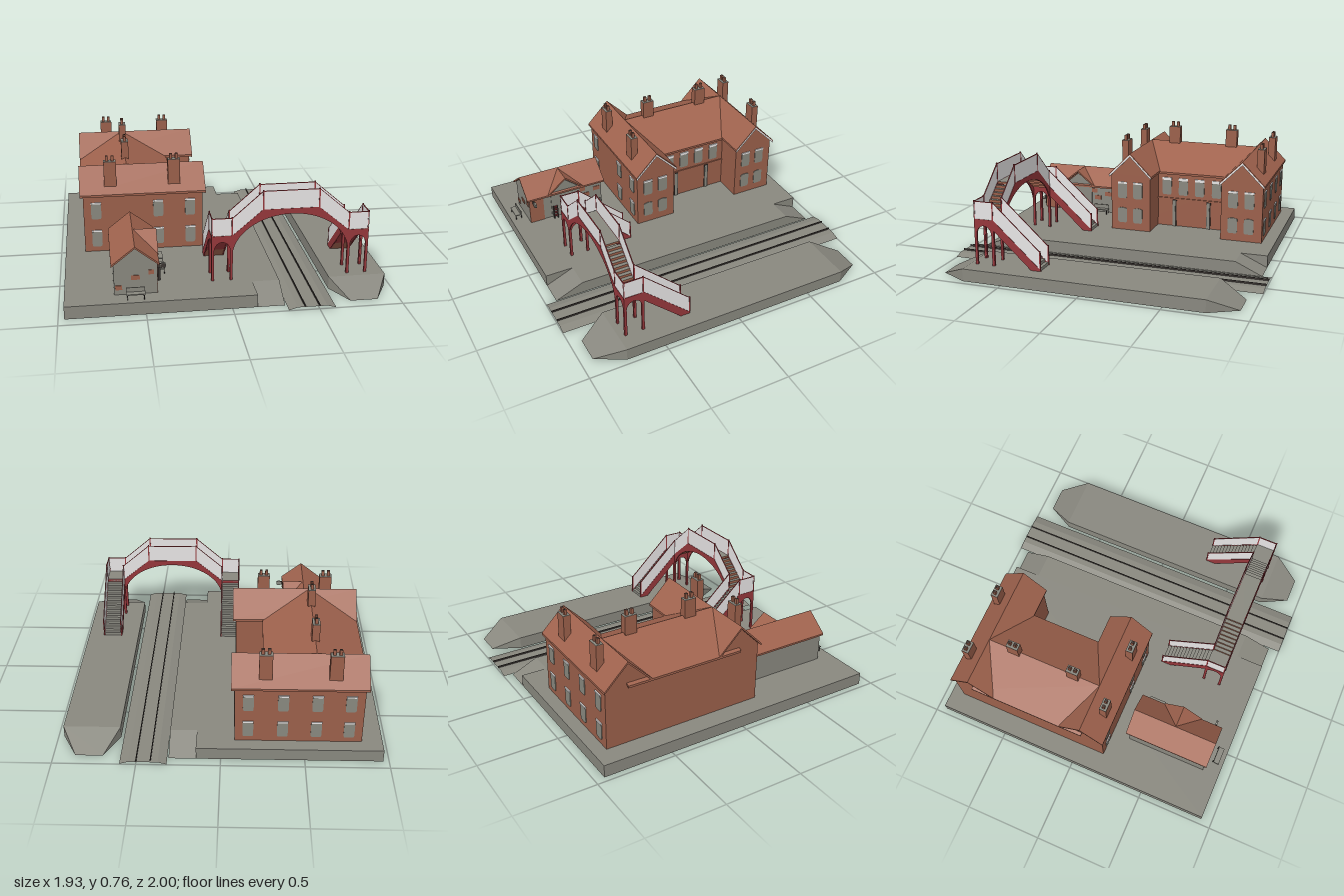
import * as THREE from 'three';

const mat = (name, color) => new THREE.MeshStandardMaterial({ name, color, side: THREE.DoubleSide });

export function createModel() {
  const root = new THREE.Group();
  root.name = 'railwayStation';
  const stone = mat('stone grey', 0x89887f), brick = mat('brick', 0x9b604b), tile = mat('roof tile', 0xa0634e);
  const red = mat('bridge red', 0x95373b), pale = mat('pale panel', 0xe8e6e6), dark = mat('dark iron', 0x3b3532);

  let parent = root;
  const group = (name) => { parent = new THREE.Group(); parent.name = name; root.add(parent); return parent; };
  const add = (name, geo, m) => {
    const mesh = new THREE.Mesh(geo, m);
    mesh.name = name;
    parent.add(mesh);
    return mesh;
  };
  const box = (name, m, x0, x1, y0, y1, z0, z1) => add(name,
    new THREE.BoxGeometry(x1 - x0, y1 - y0, z1 - z0).translate((x0 + x1) / 2, (y0 + y1) / 2, (z0 + z1) / 2), m);
  const toShape = (pts) => new THREE.Shape(pts.map((p) => new THREE.Vector2(p[0], p[1])));
  const extrude = (shape, depth) => new THREE.ExtrudeGeometry(shape, { depth, bevelEnabled: false, curveSegments: 16 });
  // Outline in (x, y), running from z0 to z1
  const alongZ = (name, m, pts, z0, z1) => add(name, extrude(toShape(pts), z1 - z0).translate(0, 0, z0), m);
  // Outline in (z, y), running from x0 to x1
  const alongX = (name, m, pts, x0, x1) =>
    add(name, extrude(toShape(pts.map(([z, y]) => [-z, y])), x1 - x0).rotateY(Math.PI / 2).translate(x0, 0, 0), m);
  // Flat faces given by their corners
  const faces = (name, m, polys) => {
    const v = [];
    for (const p of polys) for (let i = 1; i < p.length - 1; i++) v.push(...p[0], ...p[i], ...p[i + 1]);
    const g = new THREE.BufferGeometry();
    g.setAttribute('position', new THREE.Float32BufferAttribute(v, 3));
    g.computeVertexNormals();
    return add(name, g, m);
  };
  const house = (c, half, base, eave, top) => [[c - half, base], [c + half, base], [c + half, eave], [c, top], [c - half, eave]];
  const chevron = (c, half, eave, top, t) => [[c - half, eave], [c - half, eave - t], [c, top - t], [c + half, eave - t], [c + half, eave], [c, top]];

  const P = 0.078, G = 0.079; // platform top and the level things stand on

  // Main platform, hollow below, with a ramp at each end of its track edge
  group('mainPlatform');
  const L = -0.965, M = 0.147, R = 0.31, B = -0.94, F = 0.93, RB = -0.77, RF = 0.75;
  faces('platformTop', stone, [
    [[L, P, F], [M, P, F], [M, P, B], [L, P, B]],
    [[M, P, RF], [R, P, RF], [R, P, RB], [M, P, RB]],
  ]);
  faces('platformWalls', stone, [
    [[L, 0, F], [M, 0, F], [M, P, F], [L, P, F]],
    [[M, 0, B], [L, 0, B], [L, P, B], [M, P, B]],
    [[L, 0, B], [L, 0, F], [L, P, F], [L, P, B]],
    [[R, 0, F], [R, 0, B], [R, P, RB], [R, P, RF]],
    [[M, 0, F], [M, P, RF], [M, P, F]],
    [[M, 0, B], [M, P, B], [M, P, RB]],
  ]);
  faces('platformRamps', stone, [
    [[M, 0, F], [R, 0, F], [R, P, RF], [M, P, RF]],
    [[M, P, RB], [R, P, RB], [R, 0, B], [M, 0, B]],
  ]);

  // Far platform, hollow below, with tapered sloping ends
  group('farPlatform');
  const X0 = 0.615, X1 = 0.965, E = 0.75;
  faces('platformTop', stone, [[[X0, P, E], [X1, P, E], [X1, P, -E], [X0, P, -E]]]);
  faces('platformWalls', stone, [
    [[X0, 0, -E], [X0, 0, E], [X0, P, E], [X0, P, -E]],
    [[X1, 0, E], [X1, 0, -E], [X1, P, -E], [X1, P, E]],
  ]);
  for (const s of [1, -1]) {
    const z = E * s, e = 0.925 * s;
    const a = [X0, P, z], b = [X1, P, z], c = [0.87, 0, e], d = [0.705, 0, e];
    const polys = [[a, d, c, b], [a, [X0, 0, z], d], [b, c, [X1, 0, z]]];
    faces('platformRamp', stone, s > 0 ? polys : polys.map((p) => [...p].reverse()));
  }

  // Track: open ballast sheet and two rails
  group('track');
  const strip = (name, m, pts) => faces(name, m, pts.slice(1).map(([x, y], i) => {
    const [px, py] = pts[i];
    return [[px, py, 1], [x, y, 1], [x, y, -1], [px, py, -1]];
  }));
  strip('ballast', stone, [[0.318, 0.003], [0.37, 0.018], [0.545, 0.018], [0.598, 0.003]]);
  for (const x of [0.414, 0.499])
    strip('rail', dark, [[x - 0.0025, 0.018], [x - 0.0025, 0.029], [x + 0.0025, 0.029], [x + 0.0025, 0.018]]);

  // Window plate with rounded corners and a thin pale lintel, turned to face its wall
  const windowAt = (x, y, z, turn, lintelHeight) => {
    const w = 0.032, h = 0.105, keep = parent;
    const g = new THREE.Group();
    g.name = 'window';
    g.position.set(x, y, z);
    g.rotation.y = turn;
    const pane = new THREE.Shape();
    pane.moveTo(-w + 0.012, 0);
    pane.lineTo(w - 0.012, 0);
    pane.quadraticCurveTo(w, 0, w, 0.02);
    pane.lineTo(w, h - 0.008);
    pane.quadraticCurveTo(0, h + 0.008, -w, h - 0.008);
    pane.lineTo(-w, 0.02);
    pane.quadraticCurveTo(-w, 0, -w + 0.012, 0);
    parent.add(g);
    parent = g;
    add('pane', extrude(pane, 0.004), stone);
    if (lintelHeight) box('lintel', pale, -w, w, h - 0.003, h - 0.003 + lintelHeight, 0, 0.007);
    parent = keep;
  };

  // Station house: two gabled wings joined by a middle range
  group('stationHouse');
  alongZ('middleWalls', brick, house(-0.555, 0.285, G, 0.46, 0.6), -0.72, 0.04);
  alongZ('middleRoof', tile, chevron(-0.555, 0.305, 0.46, 0.615, 0.014), -0.72, 0.04);
  box('stringCourse', brick, -0.27, -0.262, 0.27, 0.278, -0.585, -0.09);
  for (const z of [-0.16, -0.275, -0.39, -0.507]) windowAt(-0.27, 0.3, z, Math.PI / 2, 0.018);
  for (const z of [-0.215, -0.455]) {
    box('doorFrame', dark, -0.272, -0.264, G, 0.265, z - 0.014, z + 0.014);
    box('door', stone, -0.27, -0.262, G, 0.262, z - 0.006, z + 0.012);
  }
  for (const c of [0.04, -0.72]) {
    alongX('wingWalls', brick, house(c, 0.137, G, 0.462, 0.6), -0.84, -0.08);
    alongX('wingRoof', tile, chevron(c, 0.15, 0.465, 0.615, 0.014), -0.86, -0.06);
    alongX('bargeboard', pale, chevron(c, 0.147, 0.461, 0.608, 0.015), -0.066, -0.0585);
    for (const z of [c + 0.058, c - 0.05]) {
      windowAt(-0.08, 0.13, z, Math.PI / 2, 0);
      windowAt(-0.08, 0.3, z, Math.PI / 2, 0.012);
    }
  }
  for (const y of [0.112, 0.3]) {
    for (const x of [-0.76, -0.365, -0.16]) windowAt(x, y, 0.177, 0, 0.01);
    for (const x of [-0.76, -0.565, -0.365, -0.16]) windowAt(x, y, -0.857, Math.PI, 0.01);
  }

  // Chimneys, each with two square pots
  const chimney = (x, z, y0, y1, acrossX) => {
    const a = acrossX ? 0.039 : 0.023, b = acrossX ? 0.023 : 0.039;
    box('chimneyStack', brick, x - a, x + a, y0, y1, z - b, z + b);
    box('chimneyTop', stone, x - a, x + a, y1, y1 + 0.002, z - b, z + b);
    for (const s of [-1, 1]) {
      const px = x + (acrossX ? s * 0.018 : 0), pz = z + (acrossX ? 0 : s * 0.018);
      box('chimneyPot', brick, px - 0.009, px + 0.009, y1, y1 + 0.035, pz - 0.009, pz + 0.009);
      box('potOpening', dark, px - 0.006, px + 0.006, y1 + 0.034, y1 + 0.036, pz - 0.006, pz + 0.006);
    }
  };
  group('chimneys');
  for (const z of [0.126, -0.808]) for (const x of [-0.663, -0.258]) chimney(x, z, 0.5, 0.667, true);
  for (const z of [-0.54, -0.135]) chimney(-0.556, z, 0.57, 0.72, false);

  // Waiting room with a small cross gable
  group('waitingRoom');
  alongZ('walls', stone, house(-0.552, 0.125, G, 0.27, 0.365), 0.295, 0.82);
  alongZ('roof', tile, chevron(-0.552, 0.14, 0.27, 0.38, 0.012), 0.275, 0.835);
  alongX('porchGable', stone, house(0.56, 0.105, G, 0.27, 0.355), -0.52, -0.422);
  alongX('porchRoof', tile, chevron(0.56, 0.13, 0.27, 0.376, 0.012), -0.55, -0.408);
  box('brickCorner', brick, -0.43, -0.424, G, 0.265, 0.72, 0.82);
  for (const [z, y] of [[0.33, 0.2], [0.41, 0.17], [0.44, 0.22]])
    box('brickPatch', brick, -0.43, -0.424, y, y + 0.03, z - 0.025, z + 0.025);
  for (const [x, y, w] of [[-0.552, 0.17, 0.025], [-0.65, 0.11, 0.02], [-0.46, 0.2, 0.016]])
    box('brickPatch', brick, x - w, x + w, y, y + 0.028, 0.818, 0.824);
  box('signBoard', dark, -0.43, -0.375, 0.225, 0.25, 0.785, 0.796);
  add('clock', new THREE.CylinderGeometry(0.018, 0.018, 0.012, 14).rotateX(Math.PI / 2).translate(-0.39, 0.237, 0.79), stone);
  for (const z of [0.632, 0.658]) box('trolleySide', dark, -0.41, -0.395, G, 0.175, z - 0.003, z + 0.003);
  for (const y of [0.1, 0.125, 0.15, 0.17]) box('trolleyRung', red, -0.408, -0.397, y - 0.004, y + 0.004, 0.632, 0.658);

  // Benches
  const bench = (x, z, turn) => {
    const g = group('bench');
    box('seat', stone, -0.055, 0.055, 0.031, 0.037, -0.015, 0.02);
    box('back', stone, -0.055, 0.055, 0.037, 0.064, -0.02, -0.015);
    for (const s of [-0.048, 0.048]) {
      box('frontLeg', dark, s - 0.002, s + 0.002, 0, 0.031, 0.013, 0.017);
      box('backLeg', dark, s - 0.002, s + 0.002, 0, 0.06, -0.024, -0.02);
    }
    g.position.set(x, G, z);
    g.rotation.y = turn;
  };
  bench(-0.555, 0.882, 0);
  bench(-0.38, 0.37, Math.PI / 2);
  bench(-0.38, 0.525, Math.PI / 2);

  // Footbridge span: arched girders, pale parapets with red rails, deck and steps
  const Z0 = 0.585, Z1 = 0.713, D = 0.365, T = 0.52;
  group('bridgeSpan');
  const arch = toShape([[0.735, 0.23], [0.735, D], [0.55, T], [0.21, T], [0.03, D], [0.03, 0.23]]);
  arch.absellipse(0.3825, 0.23, 0.3525, 0.257, Math.PI, 0, true);
  const railLine = [[0.03, 0.475], [0.21, 0.635], [0.55, 0.635], [0.735, 0.475]];
  const railUnder = railLine.map(([x, y]) => [x, y - 0.004]).reverse();
  for (const z of [Z0, Z1 - 0.008]) {
    add('archGirder', extrude(arch, 0.008).translate(0, 0, z), red);
    alongZ('parapet', pale, [[0.03, D], [0.21, T], [0.55, T], [0.735, D], ...railUnder], z + 0.002, z + 0.006);
    alongZ('handrail', red, [...railLine, ...railUnder], z + 0.001, z + 0.007);
    for (const x of [0.213, 0.549]) box('post', red, x - 0.004, x + 0.004, 0.5, 0.64, z, z + 0.008);
  }
  // Grey treads with brick coloured risers
  const stepMats = [brick, brick, stone, brick, brick, brick];
  box('deck', stepMats, 0.21, 0.55, 0.505, T, Z0 + 0.008, Z1 - 0.008);
  for (let i = 0; i < 8; i++) {
    const y = D + (i + 1) * (T - D) / 9, w = 0.0225, x = 0.03 + i * w;
    box('step', stepMats, x, x + w, y - 0.022, y, Z0 + 0.008, Z1 - 0.008);
    box('step', stepMats, 0.765 - x - w, 0.765 - x, y - 0.022, y, Z0 + 0.008, Z1 - 0.008);
  }

  // Towers and stairs, one on each platform
  const W = Z1 - Z0;
  const frame = toShape([[0, G], [0, D], [W, D], [W, G], [W - 0.016, G], [W - 0.016, 0.27]]);
  frame.absellipse(W / 2, 0.27, W / 2 - 0.016, 0.055, 0, Math.PI, false);
  frame.lineTo(0.016, G);
  for (const [x0, outer] of [[-0.095, -0.093], [0.732, 0.854]]) {
    const x1 = x0 + W;
    group('bridgeTower');
    for (const z of [Z0, Z1 - 0.012]) add('archFrame', extrude(frame, 0.012).translate(x0, 0, z), red);
    for (const x of [x0, x1 - 0.012])
      add('sideFrame', extrude(frame, 0.012).rotateY(Math.PI / 2).translate(x, 0, Z1), red);
    box('landing', stone, x0 + 0.002, x1 - 0.002, D - 0.012, D + 0.002, Z0, Z1 - 0.002);
    box('frontPanel', pale, x0, x1, D, 0.472, Z1 - 0.006, Z1 - 0.002);
    box('sidePanel', pale, outer, outer + 0.004, D, 0.472, Z0, Z1);
    box('frontRail', red, x0, x1, 0.472, 0.476, Z1 - 0.007, Z1 - 0.001);
    box('sideRail', red, outer - 0.001, outer + 0.005, 0.472, 0.476, Z0, Z1);
    for (const x of [x0, x1 - 0.008]) for (const z of [Z0, Z1 - 0.008]) box('post', red, x, x + 0.008, D, 0.48, z, z + 0.008);

    group('bridgeStairs');
    const zb = 0.287;
    for (const x of [x0, x1 - 0.008]) {
      alongX('stringer', red, [[Z0, D], [Z0, 0.3], [zb + 0.06, G], [zb, G], [zb, 0.09]], x, x + 0.008);
      alongX('stairPanel', pale, [[Z0, D], [zb, 0.09], [zb, 0.196], [Z0, 0.471]], x + 0.002, x + 0.006);
      alongX('stairRail', red, [[Z0, 0.471], [zb, 0.196], [zb, 0.2], [Z0, 0.475]], x + 0.001, x + 0.007);
      box('endPost', red, x, x + 0.008, G, 0.205, zb - 0.004, zb + 0.004);
    }
    const n = 14, dz = (Z0 - zb) / n;
    for (let i = 0; i < n; i++) {
      const y = G + (i + 1) * (D - G) / (n + 1);
      box('step', stone, x0 + 0.008, x1 - 0.008, Math.max(G, y - 0.022), y, zb + i * dz, zb + (i + 1) * dz);
    }
    // Underside of the flight, brick coloured at its foot
    const zm = 0.418;
    faces('stairSoffit', red, [[[x0, 0.3, Z0], [x0, 0.15, zm], [x1, 0.15, zm], [x1, 0.3, Z0]]]);
    faces('stairFoot', brick, [[[x0, 0.15, zm], [x0, G, zb + 0.06], [x1, G, zb + 0.06], [x1, 0.15, zm]]]);
  }
  return root;
}
